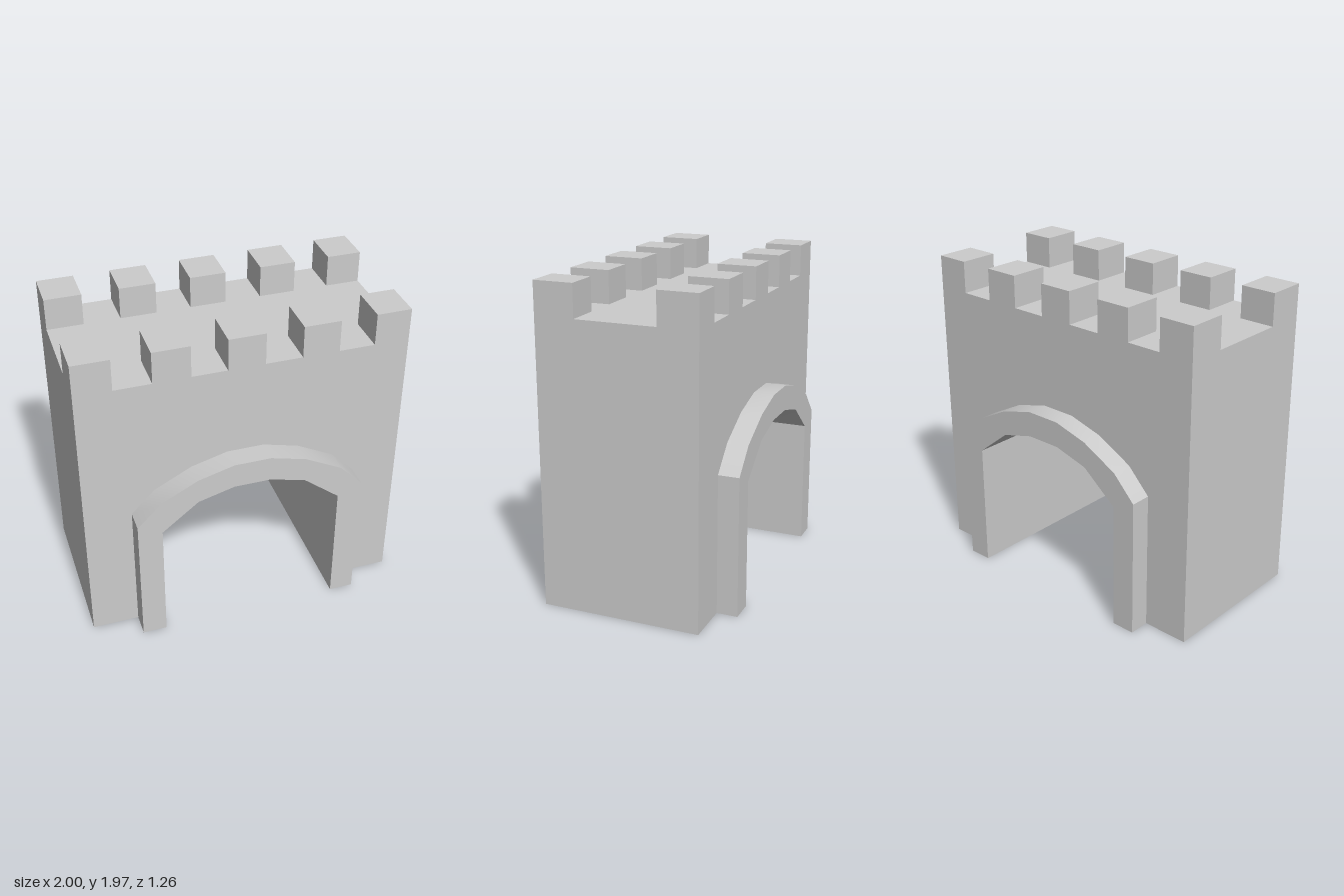
import * as THREE from 'three';
import { toCreasedNormals } from 'three/addons/utils/BufferGeometryUtils.js';

const FRONT = 0.49, BACK = -0.5, TRIM = 0.63;
const ROOF = 1.77, TOP = 1.97;

// Right halves of the opening and of the trim outline, from ground to crown
const inner = [[0.56, 0], [0.56, 0.8], [0.335, 0.98], [0.113, 1.04]];
const outer = [[0.71, 0], [0.71, 0.87], [0.565, 1.02], [0.335, 1.14], [0.113, 1.2]];

// Full arch line, from ground at +x over the crown to ground at -x
const archLine = (half) => [...half, ...half.map(([x, y]) => [-x, y]).reverse()];

export function createModel() {
  const model = new THREE.Group();
  const material = new THREE.MeshStandardMaterial({ color: 0xcccccc });

  function add(name, geometry) {
    const mesh = new THREE.Mesh(geometry, material);
    mesh.name = name;
    model.add(mesh);
    return mesh;
  }

  // Extrude an outline with the arched opening cut out of its foot
  function archedSlab(name, outline, z0, z1) {
    const points = [...outline, ...archLine(inner).reverse()];
    const shape = new THREE.Shape(points.map(([x, y]) => new THREE.Vector2(x, y)));
    const geometry = new THREE.ExtrudeGeometry(shape, { depth: z1 - z0, bevelEnabled: false });
    geometry.translate(0, 0, z0);
    add(name, toCreasedNormals(geometry, 0.6));
  }

  // Gatehouse block and the raised arch surrounds on both faces
  archedSlab('gatehouseWall', [[1, 0], [1, ROOF], [-1, ROOF], [-1, 0]], BACK, FRONT);
  archedSlab('frontArchTrim', archLine(outer), FRONT, TRIM);
  archedSlab('backArchTrim', archLine(outer), -TRIM, BACK);

  // Battlements: five merlons along each long edge
  const spans = [[-1, -0.775], [-0.55, -0.325], [-0.11, 0.115], [0.34, 0.565], [0.785, 1]];
  const rows = [['front', 0.243, FRONT], ['back', BACK, -0.255]];
  for (const [side, z0, z1] of rows) {
    spans.forEach(([x0, x1], i) => {
      const merlon = add(`${side}Merlon${i + 1}`, new THREE.BoxGeometry(x1 - x0, TOP - ROOF, z1 - z0));
      merlon.position.set((x0 + x1) / 2, (ROOF + TOP) / 2, (z0 + z1) / 2);
    });
  }

  return model;
}
